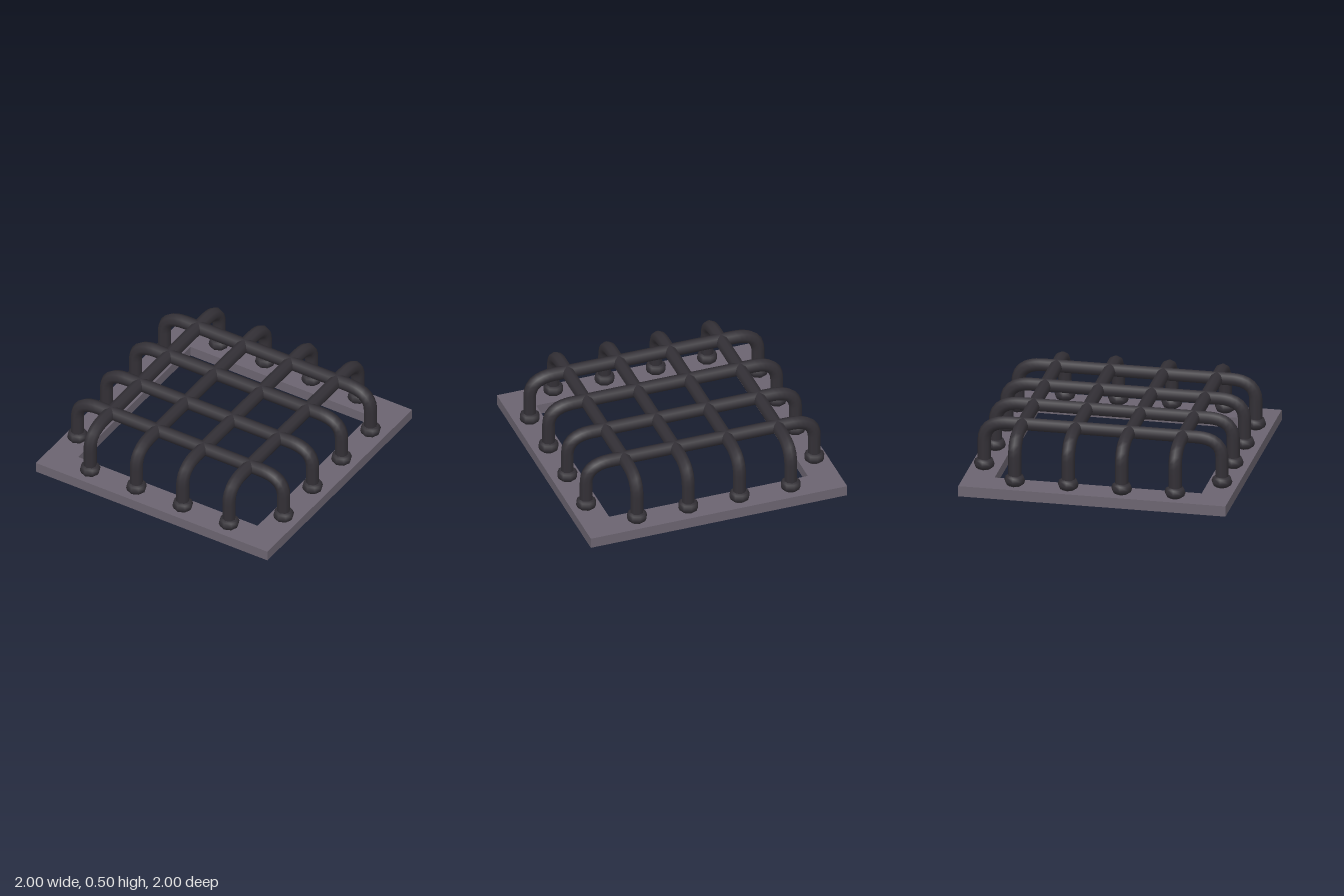
import * as THREE from 'three';

const FRAME_H = 0.08, LEG = 0.89, BAR_Y = 0.45, BAR_R = 0.05;

export function createModel() {
  const model = new THREE.Group();
  model.name = 'grate';
  const frameMat = new THREE.MeshStandardMaterial({ color: 0x6b6470 });
  const barMat = new THREE.MeshStandardMaterial({ color: 0x333036 });

  const add = (parent, name, geometry, material) => {
    const mesh = new THREE.Mesh(geometry, material);
    mesh.name = name;
    parent.add(mesh);
    return mesh;
  };
  const square = (Type, h) => new Type([
    new THREE.Vector2(-h, -h), new THREE.Vector2(h, -h),
    new THREE.Vector2(h, h), new THREE.Vector2(-h, h),
  ]);

  // Flat square frame with a square opening
  const outline = square(THREE.Shape, 1);
  outline.holes.push(square(THREE.Path, 0.775));
  const frameGeo = new THREE.ExtrudeGeometry(outline, { depth: FRAME_H, bevelEnabled: false });
  frameGeo.rotateX(-Math.PI / 2);
  add(model, 'frame', frameGeo, frameMat);

  // Bar path: leg, rounded bend, straight span, bend, leg
  const v = (x, y) => new THREE.Vector3(x, y, 0);
  const path = new THREE.CurvePath();
  const bendX = 0.7, bendY = 0.3;
  path.add(new THREE.LineCurve3(v(-LEG, FRAME_H), v(-LEG, bendY)));
  path.add(new THREE.QuadraticBezierCurve3(v(-LEG, bendY), v(-LEG, BAR_Y), v(-bendX, BAR_Y)));
  path.add(new THREE.LineCurve3(v(-bendX, BAR_Y), v(bendX, BAR_Y)));
  path.add(new THREE.QuadraticBezierCurve3(v(bendX, BAR_Y), v(LEG, BAR_Y), v(LEG, bendY)));
  path.add(new THREE.LineCurve3(v(LEG, bendY), v(LEG, FRAME_H)));
  const barGeo = new THREE.TubeGeometry(path, 64, BAR_R, 8, false);

  // Rounded eight-sided collar at the foot of each leg
  const collarGeo = new THREE.LatheGeometry([
    [0.045, 0.08], [0.068, 0.093], [0.078, 0.12], [0.068, 0.15], [0.045, 0.163], [0.02, 0.163],
  ].map(([r, y]) => new THREE.Vector2(r, y)), 8);

  // Four bars each way, crossing at the same height
  for (const [direction, angle] of [['cross', 0], ['long', Math.PI / 2]]) {
    const row = new THREE.Group();
    row.name = direction + 'Bars';
    row.rotation.y = angle;
    model.add(row);
    for (const z of [-0.6, -0.2, 0.2, 0.6]) {
      add(row, 'bar', barGeo, barMat).position.z = z;
      for (const side of [-1, 1]) {
        add(row, 'collar', collarGeo, barMat).position.set(side * LEG, 0, z);
      }
    }
  }
  return model;
}
